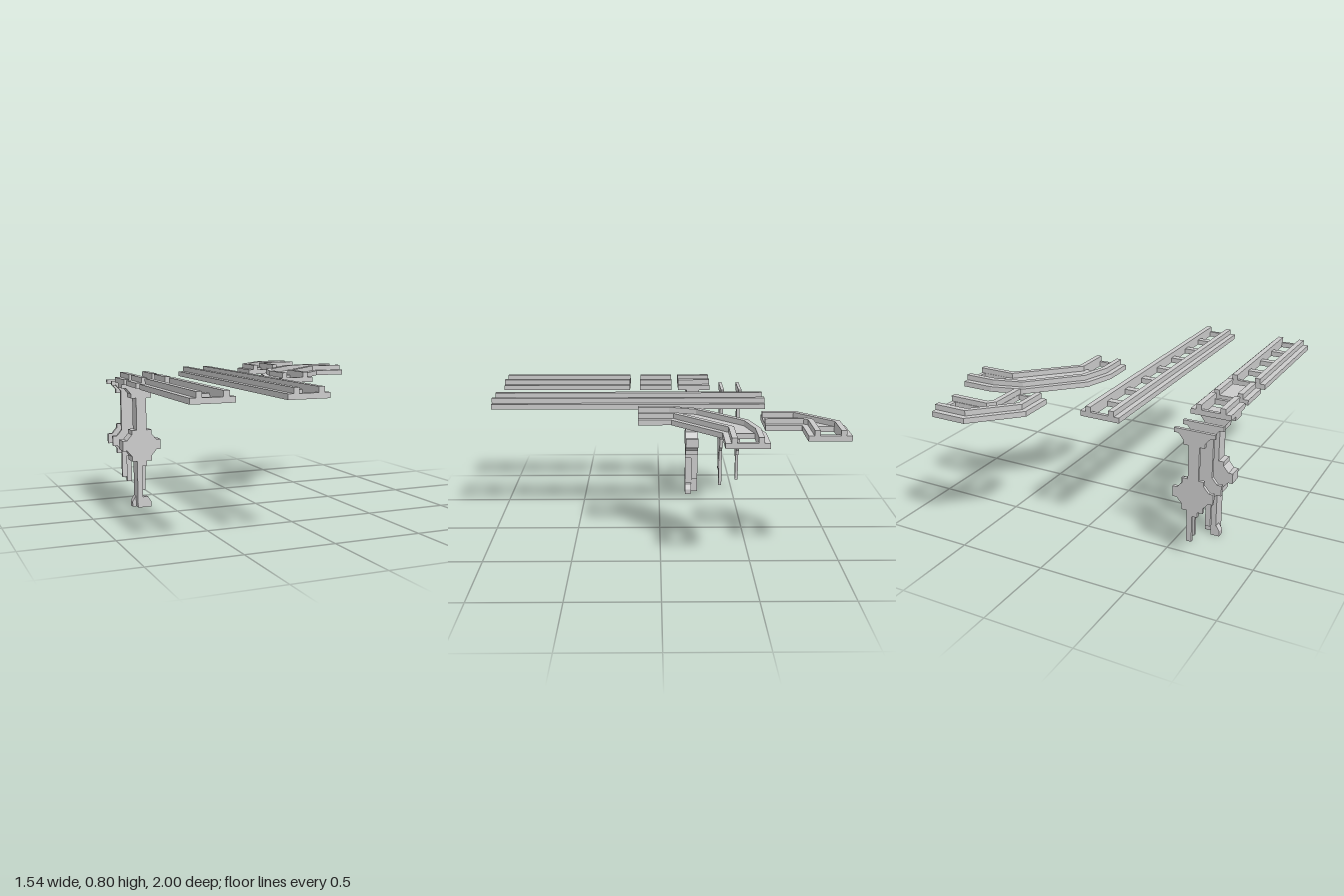
import * as THREE from 'three';

const material = new THREE.MeshStandardMaterial({ color: 0xcccccc, flatShading: true });
const BASE = 0.74, RAIL = 0.77, TOP = 0.8;   // track heights
const HALF = 0.115, RAIL_IN = 0.053, RAIL_OUT = 0.084; // track half widths

function add(group, name, geometry) {
  const mesh = new THREE.Mesh(geometry, material);
  mesh.name = name;
  group.add(mesh);
}

function box(group, name, x0, x1, y0, y1, z0, z1) {
  const g = new THREE.BoxGeometry(x1 - x0, y1 - y0, z1 - z0);
  add(group, name, g.translate((x0 + x1) / 2, (y0 + y1) / 2, (z0 + z1) / 2));
}

const toShape = pts => new THREE.Shape(pts.map(p => new THREE.Vector2(p[0], p[1])));
const rect = (x0, x1, z0, z1) => [[x0, z0], [x1, z0], [x1, z1], [x0, z1]];

// Extrude a plan given as [x, z] upwards from y0 to y1; holes wind against the outline
function plan(group, name, pts, y0, y1, holes = []) {
  const flip = list => list.map(([x, z]) => [x, -z]);
  const shape = toShape(flip(pts));
  shape.holes = holes.map(h => toShape(flip(h).reverse()));
  const g = new THREE.ExtrudeGeometry(shape, { depth: y1 - y0, bevelEnabled: false });
  add(group, name, g.rotateX(-Math.PI / 2).translate(0, y0, 0));
}

// Extrude a front outline given as [x, y] from z0 to z1
function upright(group, name, pts, z0, z1) {
  const g = new THREE.ExtrudeGeometry(toShape(pts), { depth: z1 - z0, bevelEnabled: false });
  add(group, name, g.translate(0, 0, z0));
}

// Shift an open path sideways by d with mitred corners
function offset(path, d) {
  const normal = (a, b) => {
    const l = Math.hypot(b[0] - a[0], b[1] - a[1]);
    return [-(b[1] - a[1]) / l, (b[0] - a[0]) / l];
  };
  return path.map((p, i) => {
    const n1 = i > 0 ? normal(path[i - 1], p) : normal(p, path[1]);
    const n2 = i < path.length - 1 ? normal(p, path[i + 1]) : n1;
    const k = d / (1 + n1[0] * n2[0] + n1[1] * n2[1]);
    return [p[0] + (n1[0] + n2[0]) * k, p[1] + (n1[1] + n2[1]) * k];
  });
}

function straightTrack(name, cx, z0, z1, holes) {
  const g = new THREE.Group();
  g.name = name;
  const pitch = (z1 - z0) / Math.max(holes, 1), tie = 0.021;
  const cutouts = [];
  for (let i = 0; i < holes; i++) {
    cutouts.push(rect(cx - RAIL_IN, cx + RAIL_IN, z0 + pitch * i + tie, z0 + pitch * (i + 1) - tie));
  }
  plan(g, 'trackBed', rect(cx - HALF, cx + HALF, z0, z1), BASE, RAIL, cutouts);
  box(g, 'rightRail', cx - RAIL_OUT, cx - RAIL_IN, RAIL, TOP, z0, z1);
  box(g, 'leftRail', cx + RAIL_IN, cx + RAIL_OUT, RAIL, TOP, z0, z1);
  return g;
}

function curvedTrack(name, outer, inner, holes) {
  const g = new THREE.Group();
  g.name = name;
  plan(g, 'curveBed', [...outer, ...[...inner].reverse()], BASE, RAIL, holes);
  const rail = (label, path, s) => plan(g, label,
    [...offset(path, 0.031 * s), ...offset(path, 0.061 * s).reverse()], RAIL, TOP);
  rail('outerRail', outer, 1);
  rail('innerRail', inner, -1);
  return g;
}

const CX = -0.656;
// Upper part of a support: top bracket, neck and cross arms
function supportOutline(neck) {
  const half = [[0.06, 0.28], [0.06, 0.31], [0.09, 0.345], [HALF, 0.345], [HALF, 0.405],
    [0.09, 0.405], [0.06, 0.44], [0.06, 0.465]];
  if (neck < 0.06) half.push([neck, 0.465], [neck, 0.655], [0.06, 0.655]);
  half.push([0.06, 0.68], [0.09, 0.715], [HALF, 0.715], [HALF, BASE]);
  return [...half.map(([x, y]) => [CX + x, y]),
    ...half.reverse().map(([x, y]) => [CX - x, y])];
}

function pillar() {
  const g = new THREE.Group();
  g.name = 'supportPillar';
  const back = -0.26, mid = -0.218, front = -0.177;
  upright(g, 'pillarBody', supportOutline(0.03), back, front);
  box(g, 'pillarShaft', CX - 0.03, CX + 0.03, 0.25, 0.28, back, front);
  box(g, 'pillarLeg', CX - 0.03, CX, 0, 0.25, back, front);
  box(g, 'backLeg', CX, CX + 0.03, 0.097, 0.25, back, mid);
  // Staggered foot halves
  const foot = s => [[CX, 0], [CX + s * 0.052, 0], [CX + s * 0.052, 0.03], [CX + s * 0.032, 0.063], [CX, 0.063]];
  upright(g, 'frontFoot', foot(1), mid, front);
  upright(g, 'backFoot', foot(-1), back, mid);
  return g;
}

// Thin support plate with legs listed as [x0, x1, bottom]
function plate(name, neck, z0, z1, legs) {
  const g = new THREE.Group();
  g.name = name;
  upright(g, 'plateBody', supportOutline(neck), z0, z1);
  for (const [x0, x1, y] of legs) box(g, 'plateLeg', CX + x0, CX + x1, y, 0.28, z0, z1);
  return g;
}

export function createModel() {
  const model = new THREE.Group();
  model.name = 'trackSet';

  // Straight pieces
  model.add(
    straightTrack('longTrack', -0.155, -0.625, 1, 8),
    straightTrack('mediumTrack', CX, 0.188, 1, 4),
    straightTrack('solidTrack', CX, -0.08, 0.123, 0),
    straightTrack('shortTrack', CX, -0.326, -0.123, 1));

  // Curved pieces
  model.add(
    curvedTrack('largeCurve',
      [[0.087, 0.125], [0.087, -0.06], [0.14, -0.235], [0.405, -0.505], [0.585, -0.556], [0.77, -0.556]],
      [[0.315, 0.125], [0.315, -0.061], [0.58, -0.326], [0.77, -0.326]],
      [rect(0.148, 0.254, -0.055, 0.105), rect(0.592, 0.748, -0.495, -0.389)]),
    curvedTrack('smallCurve',
      [[0.205, -0.57], [0.205, -0.77], [0.435, -1], [0.64, -1]],
      [[0.435, -0.57], [0.435, -0.768], [0.437, -0.77], [0.64, -0.77]],
      [rect(0.266, 0.372, -0.753, -0.588), rect(0.455, 0.615, -0.939, -0.835)]));

  // Supports
  model.add(
    pillar(),
    plate('middlePlate', 0.06, -0.422, -0.402, [[-0.06, -0.03, 0.148], [0.03, 0.06, 0.067]]),
    plate('backPlate', 0.03, -0.535, -0.516, [[-0.03, 0, 0.25], [0, 0.03, 0.096]]));
  return model;
}
